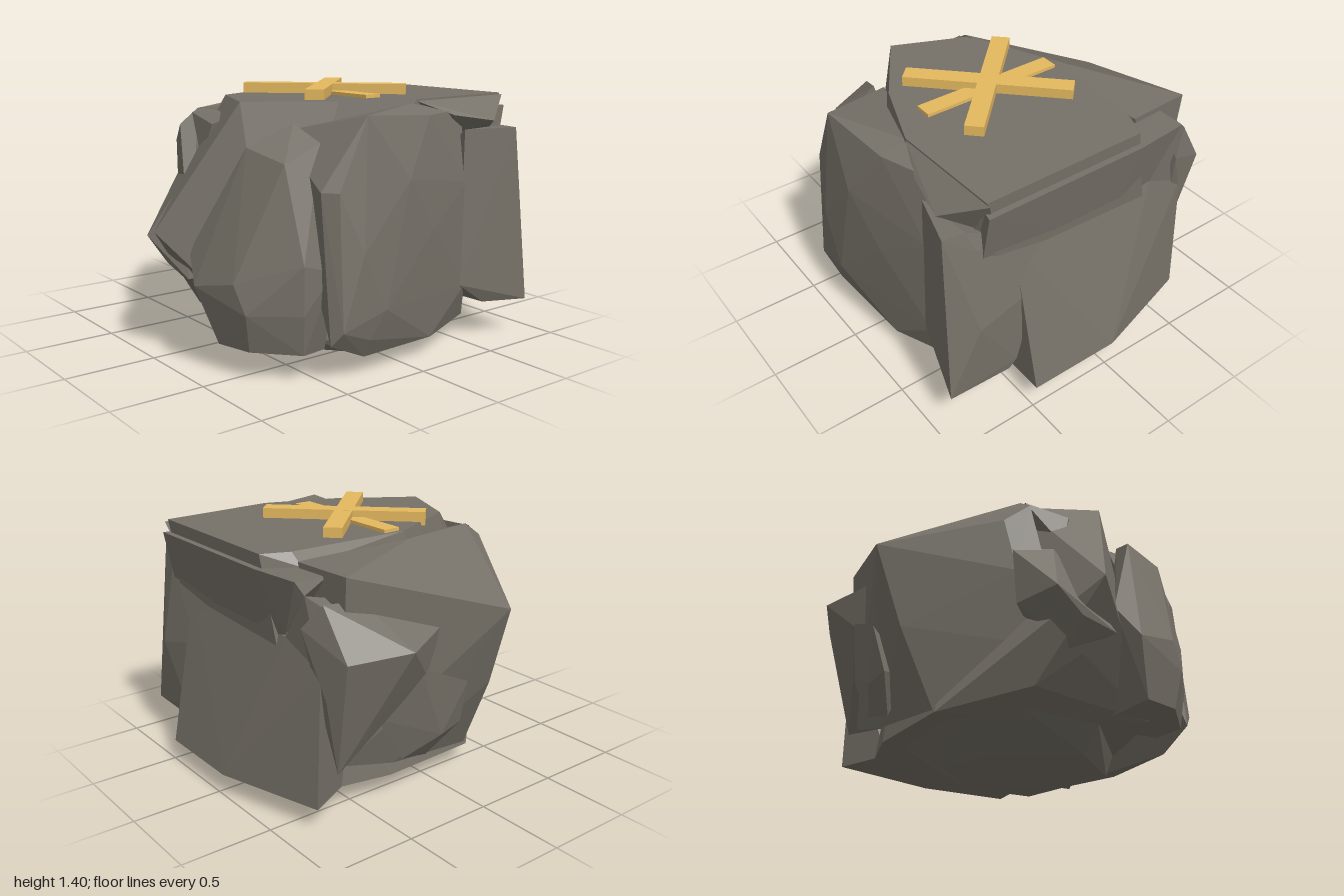
import * as THREE from 'three';
import { ConvexGeometry } from 'three/addons/geometries/ConvexGeometry.js';

export function createModel() {
  const group = new THREE.Group();
  const stone = new THREE.MeshStandardMaterial({ name: 'stone', color: 0x767168, flatShading: true });
  const gold = new THREE.MeshStandardMaterial({ name: 'gold', color: 0xe4b85e });

  // A chiselled chunk of rock spanned by a few corner points
  const chunk = (name, points) => {
    const mesh = new THREE.Mesh(new ConvexGeometry(points.map(p => new THREE.Vector3(...p))), stone);
    mesh.name = name;
    group.add(mesh);
  };

  // Main block with the flat top
  chunk('core', [
    [-0.62, 1.35, 0.28], [-0.2, 1.35, 0.55], [0.2, 1.35, 0.7], [0.85, 1.35, 0.68],
    [0.85, 1.35, -0.25], [0.7, 1.35, -0.31], [0.68, 1.28, -0.37], [0, 1.35, -0.33], [-0.45, 1.35, -0.12],
    [-1, 0.69, 0.05], [-0.76, 0.36, 0.05], [-0.6, 0.13, 0.55], [0.3, 0.1, 0.72],
    [0.78, 0.12, 0.5], [0.78, 0.12, -0.5], [0.3, 0.12, -0.6], [-0.3, 0.1, -0.55], [-0.62, 0.2, -0.15],
  ]);

  // Narrow foot under the block
  chunk('foot', [
    [-0.33, 0, 0.3], [-0.05, 0, 0.62], [0.5, 0, 0.42], [0.52, 0, 0.02], [0.25, 0, -0.25], [-0.1, 0, -0.15],
    [-0.49, 0.12, 0.3], [-0.1, 0.12, 0.64], [0.25, 0.12, 0.64], [0.54, 0.12, 0.5], [0.56, 0.12, 0],
    [0.3, 0.12, -0.5], [-0.3, 0.12, -0.48], [-0.5, 0.12, -0.15],
  ]);

  // Sloping back slab and its ridge
  chunk('backSlab', [
    [0.68, 1.31, -0.72], [0.7, 1.31, -0.36], [0, 1.32, -0.38], [-0.58, 1.28, -0.2], [-0.69, 1.2, -0.2],
    [-0.25, 1.01, -0.89], [-0.64, 1.1, -0.33], [-0.67, 0.8, -0.27], [-0.74, 0.38, -0.03], [0.13, 0.95, -0.8],
    [-0.27, 0.55, -0.74], [-0.28, 0.12, -0.55], [0.3, 0.2, -0.62], [0.65, 0.3, -0.64],
  ]);

  // Lumps jutting out at the back right corner
  chunk('backLump', [
    [0.44, 0.95, -0.94], [0.75, 0.92, -0.82], [0.12, 0.98, -0.78], [0.55, 1.16, -0.66], [0.77, 1.18, -0.66],
    [0.83, 1.05, -0.56], [0.48, 0.68, -0.82], [0.25, 0.75, -0.81], [0.78, 0.7, -0.69], [0.62, 0.4, -0.7], [0.7, 0.28, -0.67], [0.4, 0.3, -0.4],
  ]);
  chunk('lowerBackLump', [
    [-0.04, 0.64, -0.81], [-0.06, 0.38, -0.74], [0.1, 0.36, -0.77], [0.3, 0.8, -0.82], [0.3, 0.25, -0.69],
    [0.5, 0.55, -0.73], [0.1, 0.2, -0.65], [0.2, 0.5, -0.5],
  ]);

  // Overhanging ledge along the right of the top
  chunk('rightLedge', [
    [0.88, 1.28, 0.69], [0.88, 1.28, -0.25], [0.85, 1.28, -0.55], [0.65, 1.28, -0.55], [0.5, 1.28, 0.6],
    [0.82, 0.97, 0.69], [0.82, 0.97, 0.35], [0.82, 0.92, 0.15], [0.82, 0.92, -0.17], [0.81, 0.97, -0.4],
    [0.81, 1.21, -0.57], [0.5, 0.95, 0.5],
  ]);

  // Wedge flaring outward at the right base, and its return at the back
  chunk('rightWedge', [
    [0.82, 0.97, 0.5], [0.82, 0.92, 0.12], [0.82, 0.92, -0.17], [0.81, 0.96, -0.4], [0.79, 0.84, -0.66],
    [1, 0.12, 0.48], [1, 0.12, -0.05], [0.82, 0.12, -0.66], [0.5, 0.12, 0.48], [0.5, 0.12, -0.5], [0.5, 0.9, 0],
  ]);
  chunk('wedgeBack', [
    [0.81, 0.96, -0.4], [0.81, 1.21, -0.57], [0.76, 1.16, -0.66], [0.79, 0.84, -0.66], [0.6, 0.9, -0.4], [0.6, 1.15, -0.55],
  ]);

  // Front slab with a chamfered left edge
  chunk('frontSlab', [
    [-0.28, 1.31, 0.87], [-0.48, 1.2, 0.42], [-0.51, 0.95, 0.8], [-0.45, 0.95, 0.87], [-0.5, 0.2, 0.87],
    [-0.46, 0.27, 0.92], [-0.28, 0.2, 0.91], [-0.34, 0.65, 0.93], [-0.2, 0.35, 0.94], [-0.04, 0.98, 0.92],
    [0.17, 1.28, 0.83], [0.17, 0.7, 0.88], [0.5, 1.28, 0.72], [0.5, 0.9, 0.79],
    [0.5, 0.32, 0.79], [0.6, 0.11, 0.68], [-0.28, 0.1, 0.86], [0.2, 0.1, 0.84], [0.2, 1.33, 0.68],
  ]);

  // Brow below the front edge of the top
  chunk('frontBrow', [
    [0.2, 1.34, 0.7], [0.87, 1.34, 0.68], [0.65, 1.22, 0.83], [0.4, 1.26, 0.78], [0.4, 1.1, 0.6], [0.8, 1.1, 0.6],
  ]);

  // Upright block at the front right corner
  chunk('frontCorner', [
    [0.77, 1.18, 0.88], [0.79, 1.18, 0.76], [0.47, 1.18, 0.79], [0.82, 1.07, 0.72], [0.83, 0.97, 0.66],
    [0.82, 0.95, 0.25], [0.87, 0.7, 0.4], [0.89, 0.62, 0.75], [0.86, 0.21, 0.92], [0.88, 0.27, 0.52],
    [0.87, 0.21, 0.56], [0.62, 0.21, 0.82], [0.45, 0.33, 0.8], [0.5, 0.25, 0.5], [0.5, 0.95, 0.5],
  ]);

  // Rounded shoulder at the front left
  chunk('leftShoulder', [
    [-0.68, 1.14, 0.42], [-0.45, 1.25, 0.5], [-0.42, 1.17, 0.68], [-0.62, 1.08, 0.66], [-0.92, 0.45, 0.3],
    [-0.87, 0.6, 0.18], [-0.85, 0.5, 0.55], [-0.82, 0.35, 0.61], [-0.6, 0.6, 0.79], [-0.6, 0.35, 0.79],
    [-0.43, 0.55, 0.81], [-0.83, 0.15, 0.38], [-0.78, 0.15, 0.58], [-0.58, 0.14, 0.76], [-0.42, 0.13, 0.72], [-0.4, 0.13, 0.3],
  ]);

  // Spurs on the left side
  chunk('leftSpur', [
    [-0.92, 0.62, -0.18], [-0.89, 0.5, -0.02], [-0.66, 0.92, -0.29], [-0.72, 0.95, -0.08], [-0.68, 0.6, -0.28],
    [-0.88, 0.45, 0.18], [-0.76, 0.37, -0.03], [-0.5, 0.4, 0],
  ]);
  chunk('leftChip', [
    [-0.62, 1.26, -0.19], [-0.55, 1.28, -0.18], [-0.54, 1.27, 0.14], [-0.65, 1.22, 0.06], [-0.68, 1.02, 0], [-0.5, 1, 0],
  ]);

  // Six-armed inlay on the top
  const inlay = new THREE.Group();
  inlay.name = 'inlay';
  inlay.position.set(0.064, 0, 0.1);
  const bar = (length, top, angle) => {
    const mesh = new THREE.Mesh(new THREE.BoxGeometry(0.1, top - 1.33, length), gold);
    mesh.name = 'inlayBar';
    mesh.position.y = (top + 1.33) / 2;
    mesh.rotation.y = angle;
    inlay.add(mesh);
  };
  bar(0.82, 1.368, 0);
  bar(0.9, 1.405, Math.PI / 4);
  bar(0.9, 1.404, -Math.PI / 4);
  group.add(inlay);
  return group;
}
